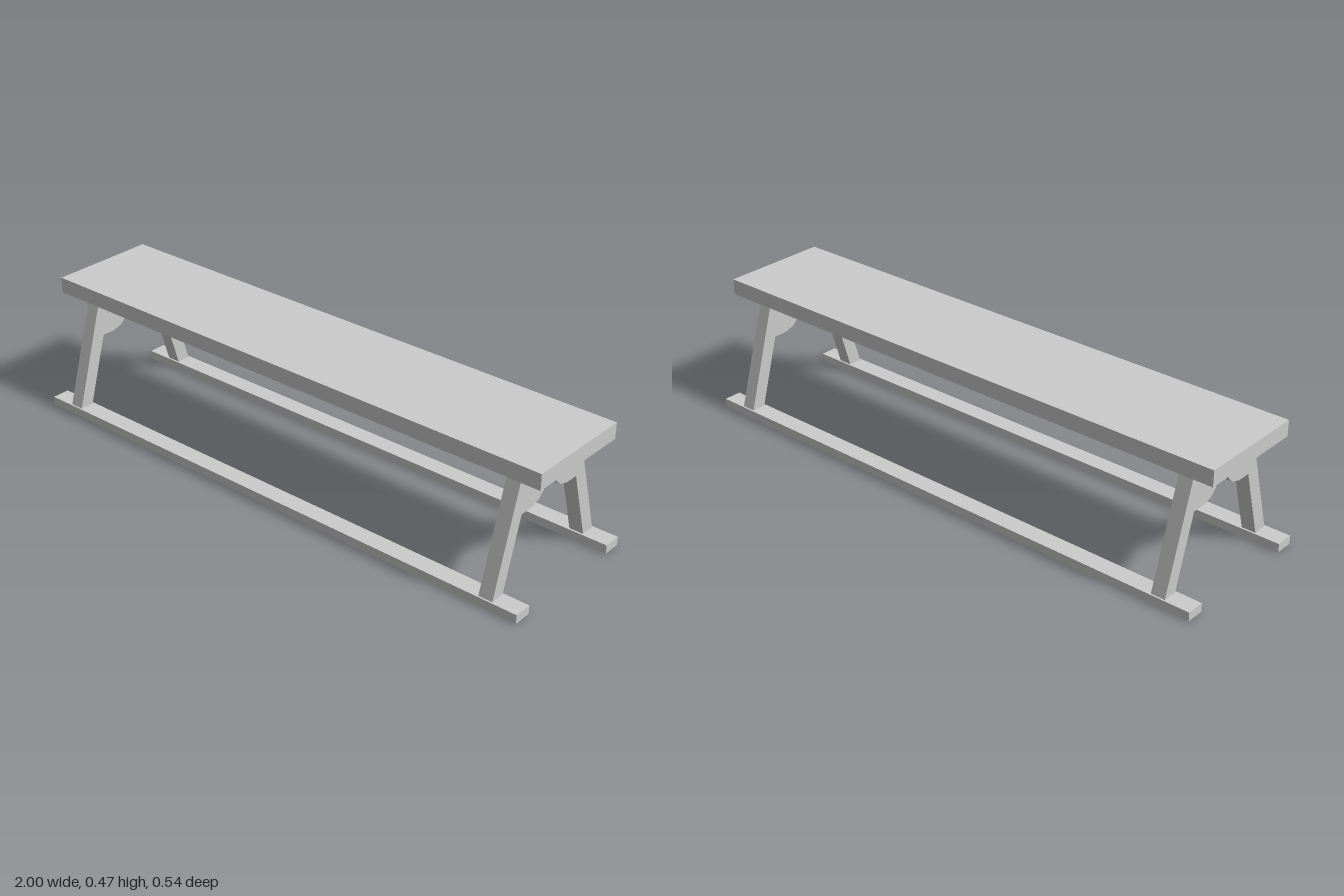
import * as THREE from 'three';

const material = new THREE.MeshStandardMaterial({ color: 0xcccccc, flatShading: true });
const LEG_X = 0.885, THICK = 0.05, RAIL_TOP = 0.03, SEAT_BOTTOM = 0.413;

function box(name, w, h, d, x, y, z) {
  const mesh = new THREE.Mesh(new THREE.BoxGeometry(w, h, d), material);
  mesh.name = name;
  mesh.position.set(x, y, z);
  return mesh;
}

// Extrudes an outline given as [z, y] points along x, centred on x = 0
function board(name, points) {
  const shape = new THREE.Shape(points.map(([z, y]) => new THREE.Vector2(-z, y)));
  const geo = new THREE.ExtrudeGeometry(shape, { depth: THICK, bevelEnabled: false });
  geo.translate(0, 0, -THICK / 2).rotateY(Math.PI / 2);
  const mesh = new THREE.Mesh(geo, material);
  mesh.name = name;
  return mesh;
}

// One end frame: two splayed legs joined by a scalloped bracket
function endFrame(name, x) {
  const frame = new THREE.Group();
  frame.name = name;
  frame.position.x = x;

  for (const s of [1, -1]) {
    frame.add(board(s > 0 ? 'frontLeg' : 'backLeg', [
      [s * 0.1, SEAT_BOTTOM], [s * 0.15, SEAT_BOTTOM],
      [s * 0.265, RAIL_TOP], [s * 0.214, RAIL_TOP],
    ]));
  }

  // Half of the bracket outline, from the leg joint to the arch
  const half = [
    [0.1, SEAT_BOTTOM], [0.142, 0.273], [0.093, 0.273], [0.056, 0.284],
    [0.033, 0.305], [0.036, 0.331], [0.022, 0.349],
  ];
  const mirrored = half.map(([z, y]) => [-z, y]).reverse();
  frame.add(board('bracket', [...half, [0, 0.353], ...mirrored]));
  return frame;
}

export function createModel() {
  const bench = new THREE.Group();
  bench.name = 'bench';

  // Seat plank and the stretcher beneath it
  bench.add(box('seat', 2, 0.055, 0.388, 0, 0.4405, 0));
  bench.add(box('stretcher', 2 * LEG_X - THICK, 0.057, 0.052, 0, 0.3845, 0));

  // Ground rails
  bench.add(box('frontRail', 2, RAIL_TOP, 0.064, 0, RAIL_TOP / 2, 0.239));
  bench.add(box('backRail', 2, RAIL_TOP, 0.064, 0, RAIL_TOP / 2, -0.239));

  // End frames
  bench.add(endFrame('leftEndFrame', LEG_X), endFrame('rightEndFrame', -LEG_X));
  return bench;
}
